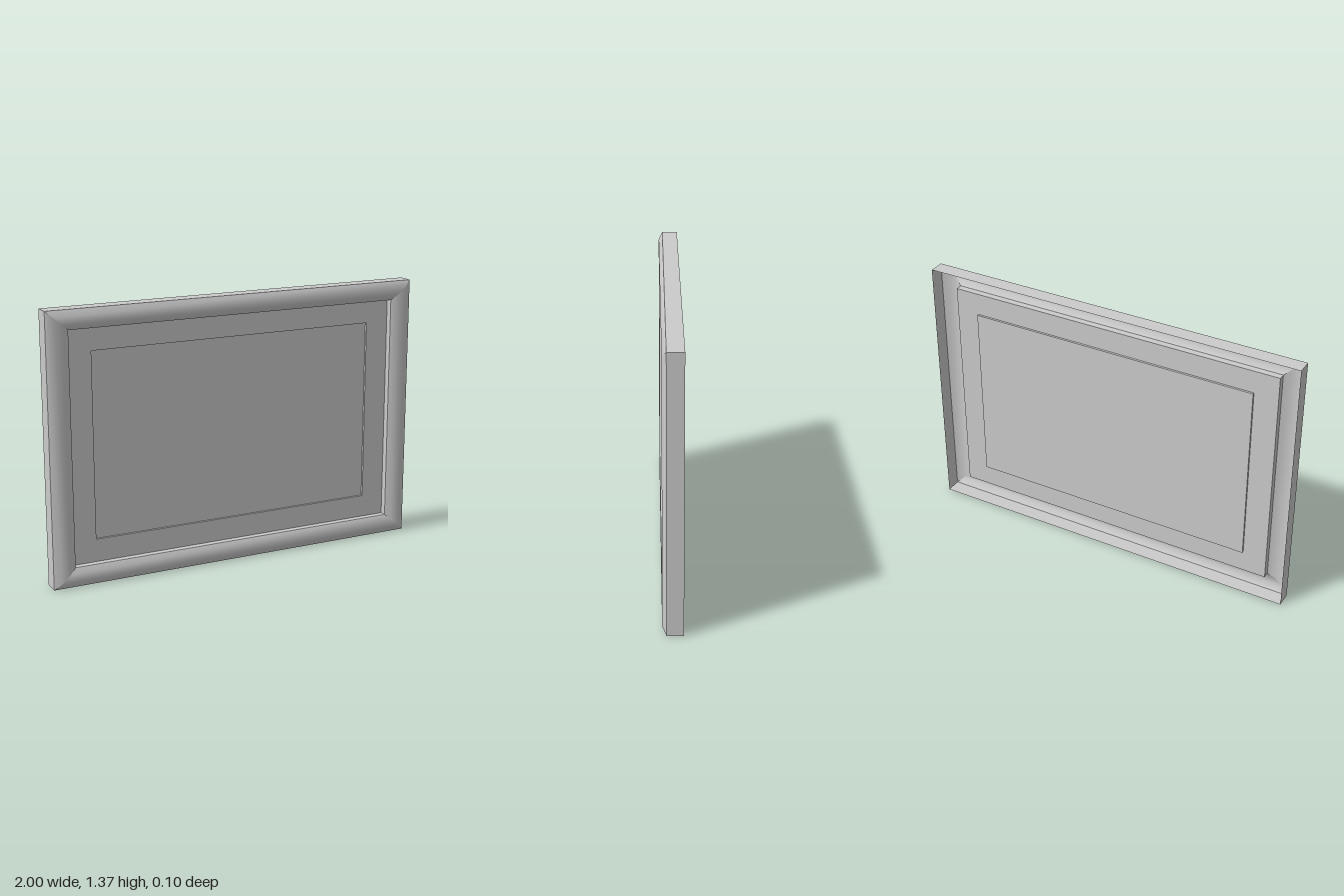
import * as THREE from 'three';

const W = 2, H = 1.37;
const material = new THREE.MeshStandardMaterial({ color: 0xcccccc, side: THREE.DoubleSide });

// Corners of a rectangle inset from the outer edge, counter-clockwise seen from the front.
function corners([dx, dy, z]) {
  const x = W / 2 - dx, lo = dy, hi = H - dy;
  return [[-x, lo, z], [x, lo, z], [x, hi, z], [-x, hi, z]];
}

// Four mitred rails swept along a profile of [inset x, inset y, z]; smooth along the profile only.
function mitredRing(name, profile) {
  const group = new THREE.Group();
  group.name = name;
  const rings = profile.map(corners);
  ['Bottom', 'Left', 'Top', 'Right'].forEach((side, s) => {
    const pos = [], index = [];
    rings.forEach((ring, i) => {
      pos.push(...ring[s], ...ring[(s + 1) % 4]);
      if (i > 0) {
        const a = 2 * (i - 1);
        index.push(a, a + 1, a + 3, a, a + 3, a + 2);
      }
    });
    const geometry = new THREE.BufferGeometry();
    geometry.setAttribute('position', new THREE.Float32BufferAttribute(pos, 3));
    geometry.setIndex(index);
    geometry.computeVertexNormals();
    const mesh = new THREE.Mesh(geometry, material);
    mesh.name = name + side;
    group.add(mesh);
  });
  return group;
}

export function createModel() {
  const model = new THREE.Group();
  model.name = 'pictureFrame';

  const outer = [0, 0, 0.03];
  const lip = [0.113, 0.098, 0.03];
  const matOuter = [0.113, 0.098, -0.004];
  const matInner = [0.237, 0.214, -0.004];
  const picture = [0.237, 0.214, -0.015];

  // Thin shell, open at the back
  model.add(mitredRing('outerWall', [[0, 0, -0.05], outer]));
  model.add(mitredRing('moulding', [outer, [0.036, 0.032, 0.05], [0.08, 0.07, 0.048], lip]));
  model.add(mitredRing('innerLip', [lip, matOuter]));
  model.add(mitredRing('mat', [matOuter, matInner]));
  model.add(mitredRing('matEdge', [matInner, picture]));

  // Flat picture panel
  const panel = new THREE.Mesh(
    new THREE.PlaneGeometry(W - 2 * picture[0], H - 2 * picture[1]), material);
  panel.position.set(0, H / 2, picture[2]);
  panel.name = 'picturePanel';
  model.add(panel);

  return model;
}
